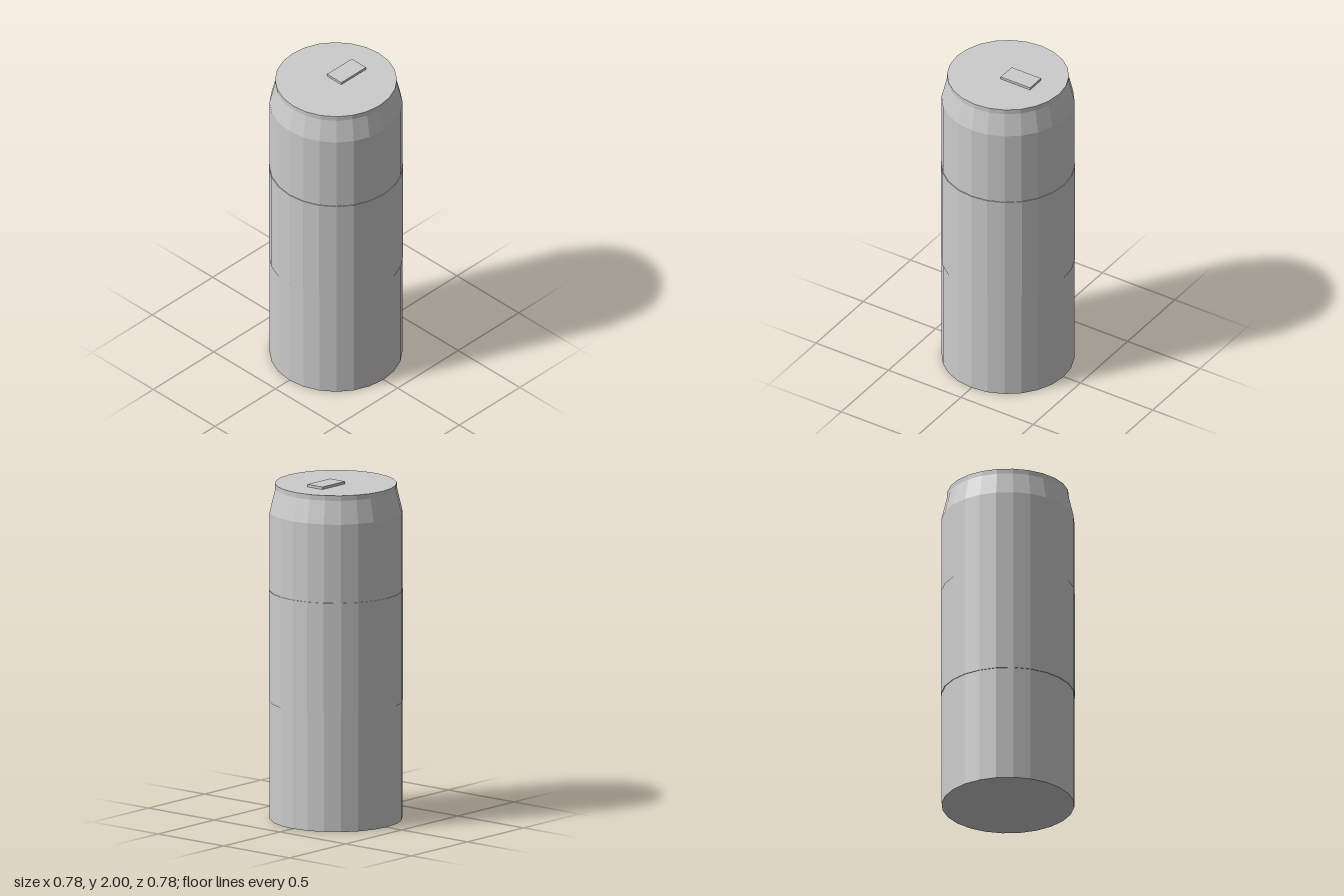
import * as THREE from 'three';

const SIDES = 24;

export function createModel() {
  const can = new THREE.Group();
  can.name = 'can';
  const metal = new THREE.MeshStandardMaterial({ color: 0xcccccc, flatShading: true });
  metal.name = 'grey metal';

  const add = (name, geometry, x, y, z) => {
    const mesh = new THREE.Mesh(geometry, metal);
    mesh.name = name;
    mesh.position.set(x, y, z);
    can.add(mesh);
  };
  // Faceted section standing between two heights
  const section = (name, bottomRadius, topRadius, y0, y1) =>
    add(name, new THREE.CylinderGeometry(topRadius, bottomRadius, y1 - y0, SIDES), 0, (y0 + y1) / 2, 0);

  section('body', 0.385, 0.385, 0, 1.82);
  section('labelBand', 0.389, 0.389, 0.7, 1.355);
  section('neck', 0.385, 0.353, 1.82, 1.955);
  section('lid', 0.353, 0.353, 1.955, 1.985);

  // Pull tab, set off centre on the lid
  add('pullTab', new THREE.BoxGeometry(0.203, 0.02, 0.115), 0.088, 1.99, -0.001);

  return can;
}
